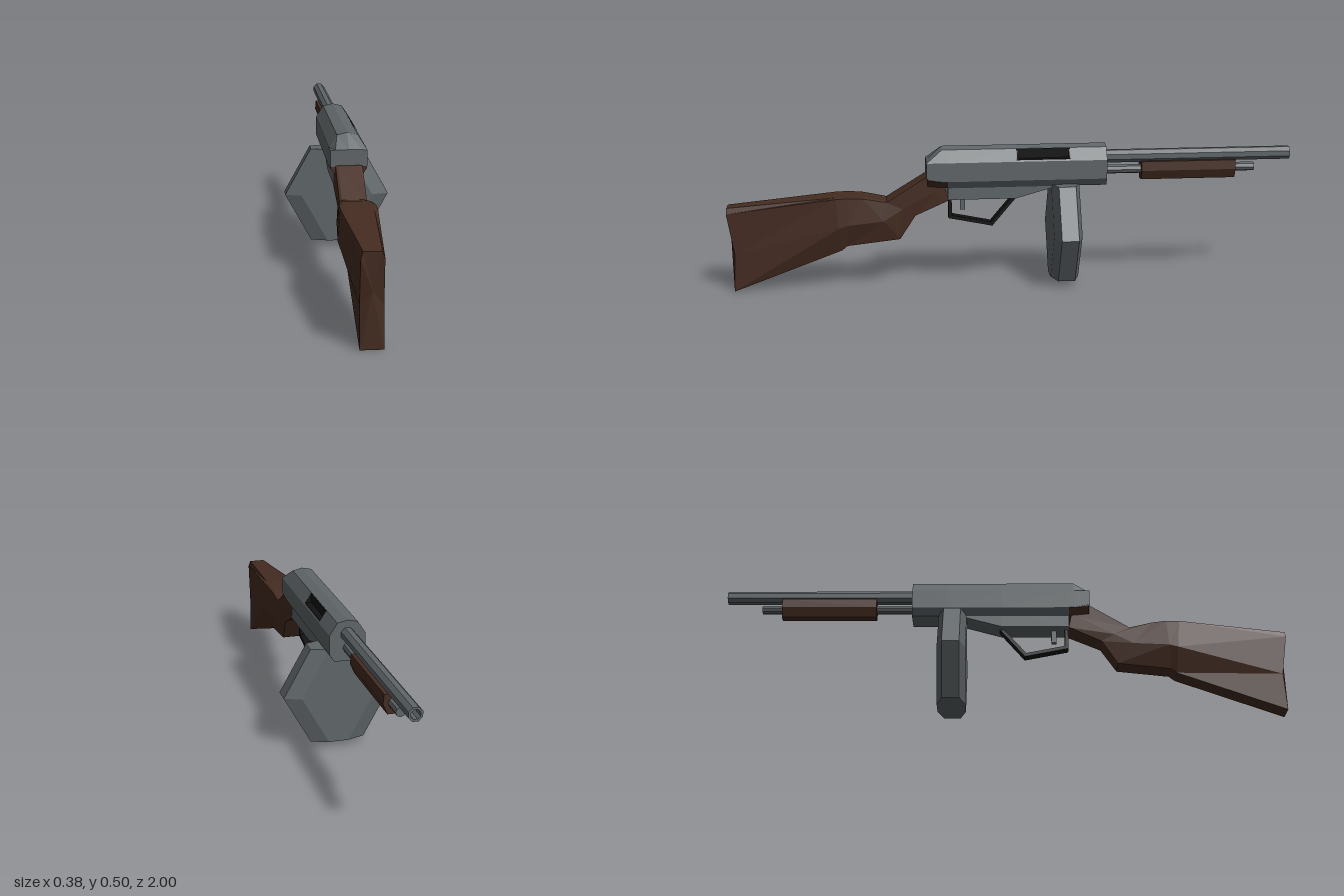
import * as THREE from 'three';

const mat = (name, color) => {
  const m = new THREE.MeshStandardMaterial({ color });
  m.name = name;
  return m;
};

// Faceted normals
function faceted(geo) {
  const g = geo.index ? geo.toNonIndexed() : geo;
  g.computeVertexNormals();
  return g;
}

// Closed solid through rings of equal point count, with fan caps
function loft(rings) {
  const tris = [];
  const n = rings[0].length;
  for (let i = 0; i < rings.length - 1; i++) {
    for (let j = 0; j < n; j++) {
      const k = (j + 1) % n;
      const a = rings[i][j], b = rings[i][k], c = rings[i + 1][k], d = rings[i + 1][j];
      tris.push([a, b, c], [a, c, d]);
    }
  }
  const cap = (ring, flip) => {
    const mid = [0, 1, 2].map((q) => ring.reduce((s, p) => s + p[q], 0) / n);
    ring.forEach((p, j) => {
      const next = ring[(j + 1) % n];
      tris.push(flip ? [mid, next, p] : [mid, p, next]);
    });
  };
  cap(rings[0], true);
  cap(rings[rings.length - 1], false);
  // Turn the faces outward if the signed volume is negative
  let volume = 0;
  for (const [a, b, c] of tris) {
    volume += new THREE.Vector3(...a).dot(new THREE.Vector3(...b).cross(new THREE.Vector3(...c)));
  }
  if (volume < 0) tris.forEach((t) => t.reverse());
  const g = new THREE.BufferGeometry();
  g.setAttribute('position', new THREE.Float32BufferAttribute(tris.flat(2), 3));
  return faceted(g);
}

// Full outline from its right half, listed top to bottom
const mirror = (half) => [...half, ...half.slice().reverse().map(([x, ...r]) => [-x, ...r])];
const atZ = (outline, z) => outline.map(([x, y]) => [x, y, z]);

export function createModel() {
  const model = new THREE.Group();
  const metal = mat('gunmetal', 0x5f6568);
  const wood = mat('walnut', 0x452c21);
  const black = mat('black', 0x121212);
  const add = (name, geo, material) => {
    const mesh = new THREE.Mesh(geo, material);
    mesh.name = name;
    model.add(mesh);
    return mesh;
  };

  // Receiver, with a notch on the left shoulder for the ejection port
  const left = [[0.035, 0.497], [0.062, 0.455], [0.062, 0.388], [0.045, 0.362]];
  const right = left.slice().reverse().map(([x, y]) => [-x, y]);
  const full = [[0, 0.505], ...left, ...right];
  const notched = [[0, 0.505], [0.035, 0.497], [0.035, 0.46], [0.059, 0.46],
    [0.062, 0.455], ...left.slice(2), ...right];
  const portFront = -0.2, portBack = -0.01;
  add('receiverFront', loft([atZ(full, -0.33), atZ(full, portFront)]), metal);
  add('receiverMiddle', loft([atZ(notched, portFront), atZ(notched, portBack)]), metal);
  add('receiverBack', loft([atZ(full, portBack), atZ(full, 0.23)]), metal);
  const tailTop = [[0, 0.505], [0.035, 0.497], [0.062, 0.455], [0.062, 0.388],
    [-0.062, 0.388], [-0.062, 0.455], [-0.035, 0.497]];
  const tailEnd = [[0, 0.457], [0.045, 0.456], [0.062, 0.455], [0.062, 0.4],
    [-0.062, 0.4], [-0.062, 0.455], [-0.045, 0.456]];
  add('receiverTail', loft([atZ(tailTop, 0.23), atZ(tailTop, 0.25), atZ(tailEnd, 0.305)]), metal);

  // Dark lining of the port
  const lining = (name, w, h, d, x, y, z) =>
    add(name, new THREE.BoxGeometry(w, h, d), black).position.set(x, y, z);
  const portLength = portBack - portFront, portMid = (portBack + portFront) / 2;
  lining('portWall', 0.004, 0.036, portLength, 0.036, 0.478, portMid);
  lining('portFloor', 0.023, 0.004, portLength, 0.047, 0.461, portMid);
  const endShape = [[0.035, 0.496], [0.0585, 0.46], [0.035, 0.46]];
  for (const [name, z] of [['portFrontEnd', portFront], ['portBackEnd', portBack - 0.004]]) {
    add(name, loft([atZ(endShape, z), atZ(endShape, z + 0.004)]), black);
  }

  // Lower receiver
  const lower = (z, y) => atZ([[0.045, 0.375], [0.045, y], [-0.045, y], [-0.045, 0.375]], z);
  add('lowerReceiver', loft([lower(0.23, 0.32), lower(-0.01, 0.32), lower(-0.16, 0.362)]), metal);

  // Hexagonal drum with bevelled sides
  const drumRing = (y, inner, outer) => [
    [inner, y, -0.135], [outer, y, -0.155], [outer, y, -0.215], [inner, y, -0.235],
    [-inner, y, -0.235], [-outer, y, -0.215], [-outer, y, -0.155], [-inner, y, -0.135]];
  add('drumMagazine', loft([drumRing(0.025, 0.035, 0.095), drumRing(0.197, 0.13, 0.19),
    drumRing(0.368, 0.035, 0.095)]), metal);

  // Hollow barrel and the tube below it
  const barrelProfile = [[0.024, 0], [0.024, 0.68], [0.016, 0.68], [0.016, 0.6], [0, 0.6]]
    .map(([r, h]) => new THREE.Vector2(r, h));
  const barrel = add('barrel', faceted(new THREE.LatheGeometry(barrelProfile, 8, Math.PI / 8)), metal);
  barrel.rotation.x = -Math.PI / 2;
  barrel.position.set(0, 0.456, -0.32);
  const tube = add('lowerTube', faceted(new THREE.CylinderGeometry(0.016, 0.016, 0.55, 8)), metal);
  tube.rotation.x = -Math.PI / 2;
  tube.position.set(0, 0.408, -0.597);

  // Forend
  const forend = mirror([[0.028, 0.438], [0.031, 0.405], [0.017, 0.372]]);
  add('forend', loft([atZ(forend, -0.46), atZ(forend, -0.8)]), wood);

  // Trigger guard: bars between the corners of a bent strap
  const guard = [[0.222, 0.325], [0.222, 0.252], [0.075, 0.222], [-0.012, 0.325]];
  for (let i = 0; i < 3; i++) {
    const [z0, y0] = guard[i], [z1, y1] = guard[i + 1];
    const dz = z1 - z0, dy = y1 - y0;
    const bar = add('triggerGuard', new THREE.BoxGeometry(0.036, 0.012, Math.hypot(dz, dy) + 0.01), black);
    bar.position.set(0, (y0 + y1) / 2, (z0 + z1) / 2);
    bar.rotation.x = Math.atan2(-dy, dz);
  }
  add('trigger', new THREE.BoxGeometry(0.016, 0.05, 0.018), metal).position.set(0, 0.3, 0.177);

  // Wooden collar under the receiver tail
  const collar = (z, y) => atZ(mirror([[0.061, y], [0.061, y - 0.012], [0.045, y - 0.035]]), z);
  add('stockCollar', loft([collar(0.23, 0.398), collar(0.302, 0.405)]), wood);

  // Stock: top z, y; bottom z, y; half widths at top, middle, bottom; top chamfer; middle shift
  const stations = [
    [0.25, 0.425, 0.23, 0.318, 0.045, 0.045, 0.045, 0.002, 0],
    [0.31, 0.402, 0.235, 0.315, 0.045, 0.045, 0.045, 0.002, 0],
    [0.445, 0.32, 0.345, 0.265, 0.045, 0.046, 0.04, 0.004, 0],
    [0.525, 0.336, 0.4, 0.18, 0.052, 0.055, 0.036, 0.004, 0],
    [0.575, 0.339, 0.585, 0.16, 0.058, 0.064, 0.036, 0.003, 0],
    [0.62, 0.338, 0.605, 0.144, 0.059, 0.066, 0.036, 0.003, 0],
    [1.0, 0.305, 0.983, 0.005, 0.035, 0.036, 0.036, 0.02, -0.014],
  ];
  add('stock', loft(stations.map(([tz, ty, bz, by, wt, wm, wb, chamfer, shift]) => mirror([
    [wt * 0.8, ty, tz - chamfer * 0.1],
    [wt, ty - chamfer, tz],
    [wm, ty * 0.45 + by * 0.55, tz * 0.45 + bz * 0.55 + shift],
    [wb, by, bz],
  ]))), wood);

  return model;
}
